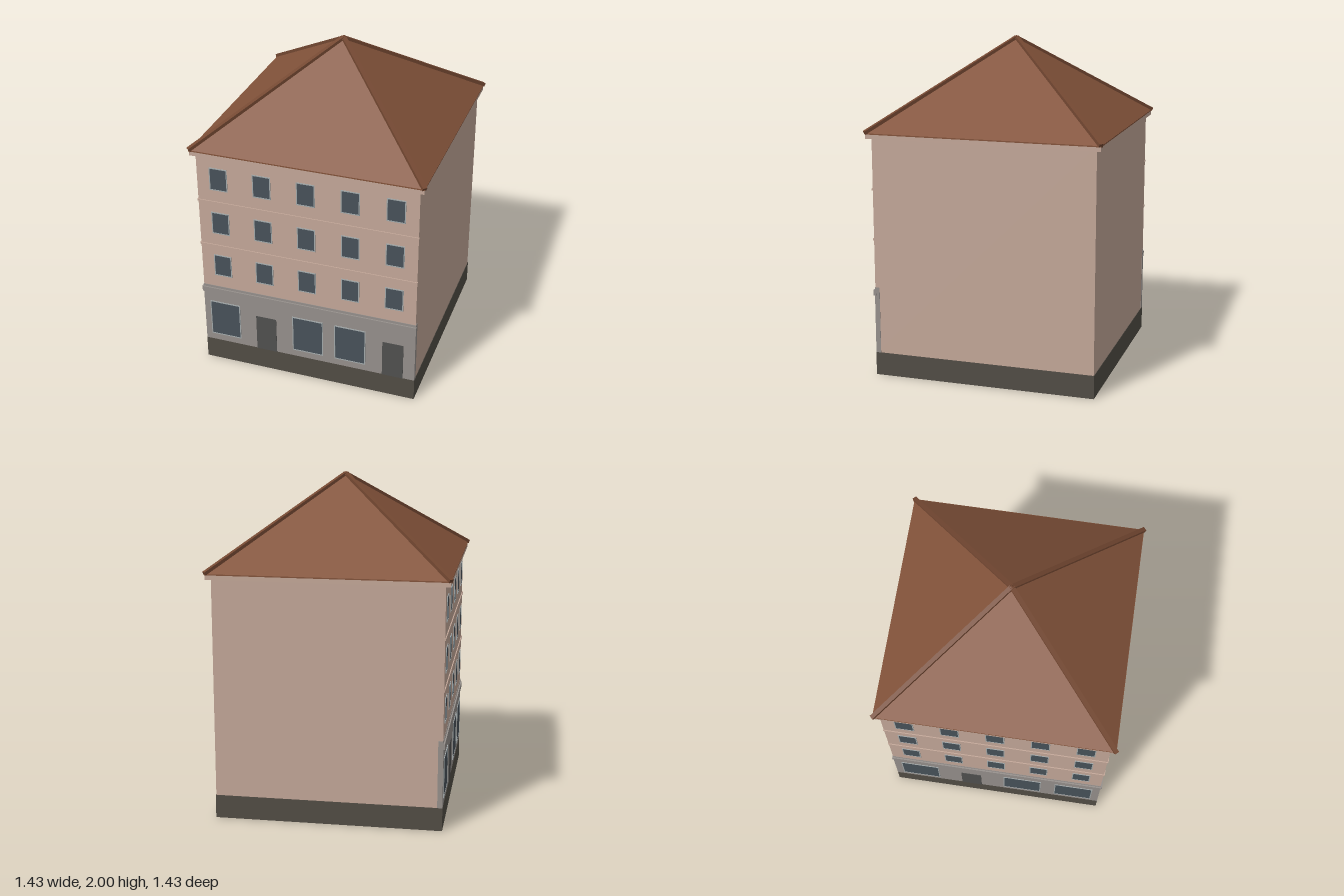
import * as THREE from 'three';

const mat = (color) => new THREE.MeshStandardMaterial({ color, flatShading: true });
const M = {
  wall: mat(0xc4a899), shop: mat(0x96908c), plinth: mat(0x524d45), roof: mat(0x83533a),
  hip: mat(0x744832), glass: mat(0x48525a), frame: mat(0xa3aaab), door: mat(0x50504f),
};
const H = 0.67;          // half width of the walls
const FLOORS = [0.70, 0.998, 1.295];

function add(parent, name, geometry, material, x = 0, y = 0, z = 0) {
  const mesh = new THREE.Mesh(geometry, material);
  mesh.name = name;
  mesh.position.set(x, y, z);
  parent.add(mesh);
  return mesh;
}

// Box given by its bottom and top heights
function slab(parent, name, material, w, y0, y1, d, x = 0, z = 0) {
  return add(parent, name, new THREE.BoxGeometry(w, y1 - y0, d), material, x, (y0 + y1) / 2, z);
}

// Pane with a thin raised frame around it
function makeWindow(parent, name, w, h, x, y, z) {
  const g = new THREE.Group();
  g.name = name;
  g.position.set(x, y, z);
  const t = 0.006;
  const rect = (Type, a, b) => new Type([
    new THREE.Vector2(-a, -b), new THREE.Vector2(a, -b), new THREE.Vector2(a, b), new THREE.Vector2(-a, b)]);
  const shape = rect(THREE.Shape, w / 2, h / 2);
  shape.holes.push(rect(THREE.Path, w / 2 - t, h / 2 - t));
  add(g, 'frame', new THREE.ExtrudeGeometry(shape, { depth: 0.004, bevelEnabled: false }), M.frame);
  add(g, 'pane', new THREE.BoxGeometry(w - t, h - t, 0.004), M.glass);
  parent.add(g);
}

// Street facade; one letter per ground floor bay: w = shop window, d = door
function makeFacade(name, bays) {
  const g = new THREE.Group();
  g.name = name;
  slab(g, 'shopFront', M.shop, 2 * H + 0.005, 0.135, 0.545, 0.03, 0, H - 0.0125);
  slab(g, 'shopCornice', M.shop, 2 * H + 0.01, 0.495, 0.53, 0.02, 0, H + 0.001);
  for (const y of [0.84, 1.14])
    slab(g, 'stringCourse', M.wall, 2 * H + 0.006, y - 0.006, y + 0.006, 0.012, 0, H);

  // Upper windows
  for (const y of FLOORS)
    for (let i = -2; i <= 2; i++) makeWindow(g, 'upperWindow', 0.112, 0.147, i * 0.268, y, H);

  // Shop windows and doors
  const pitch = 2 * H / bays.length;
  [...bays].forEach((bay, i) => {
    const x = (i + 0.5) * pitch - H;
    if (bay === 'w') makeWindow(g, 'shopWindow', pitch * 0.73, 0.245, x, 0.307, H + 0.0025);
    else slab(g, 'door', M.door, 0.13, 0.14, 0.38, 0.008, x, H + 0.001);
  });
  return g;
}

export function createModel() {
  const model = new THREE.Group();
  model.name = 'cornerHouse';

  slab(model, 'plinth', M.plinth, 2 * H + 0.006, 0, 0.14, 2 * H + 0.006);
  slab(model, 'walls', M.wall, 2 * H, 0.14, 1.475, 2 * H);
  slab(model, 'eavesCornice', M.wall, 2 * H + 0.055, 1.443, 1.472, 2 * H + 0.055);

  // Street sides: front and the right-hand side
  model.add(makeFacade('frontFacade', 'wdwwd'));
  const side = makeFacade('sideFacade', 'wdww');
  side.rotation.y = -Math.PI / 2;
  model.add(side);

  // Pyramid roof
  const eave = 0.70, base = 1.475, apex = 1.985;
  const pyramid = new THREE.ConeGeometry(eave * Math.SQRT2, apex - base, 4, 1);
  pyramid.rotateY(Math.PI / 4);
  add(model, 'roof', pyramid, M.roof, 0, (base + apex) / 2, 0);
  slab(model, 'eavesBoard', M.roof, 2 * eave, base - 0.006, base + 0.001, 2 * eave);

  // Hip caps running from the peak to each corner
  const peak = new THREE.Vector3(0, apex, 0);
  for (const sx of [-1, 1]) for (const sz of [-1, 1]) {
    const corner = new THREE.Vector3(sx * eave, base + 0.003, sz * eave);
    const dir = peak.clone().sub(corner);
    const hip = add(model, 'hipCap', new THREE.BoxGeometry(0.026, 0.022, dir.length()), M.hip);
    hip.position.copy(corner).add(peak).multiplyScalar(0.5);
    hip.lookAt(peak);
  }
  add(model, 'peakCap', new THREE.ConeGeometry(0.025, 0.022, 4), M.hip, 0, 1.989, 0);
  return model;
}
